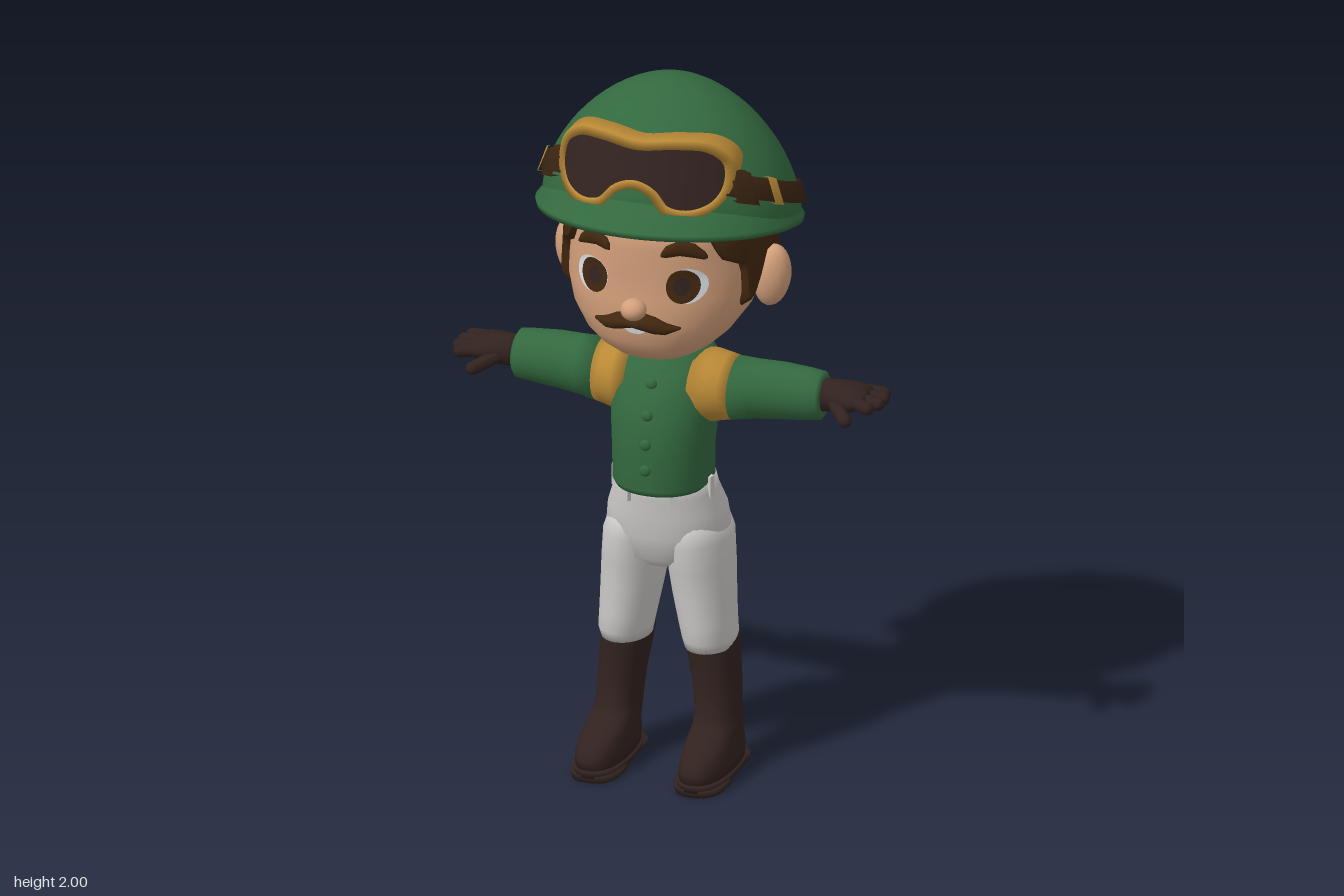
import * as THREE from 'three';
import { mergeVertices } from 'three/addons/utils/BufferGeometryUtils.js';

const mat = (name, color) => new THREE.MeshStandardMaterial({ name, color, side: THREE.DoubleSide });
const { sin, cos, abs, sign, sqrt, max, PI } = Math;

// Surface over a (u, v) grid; it faces du x dv
function grid(nu, nv, f) {
  const pos = [], idx = [];
  for (let j = 0; j <= nv; j++) for (let i = 0; i <= nu; i++) pos.push(...f(i / nu, j / nv));
  for (let j = 0; j < nv; j++) for (let i = 0; i < nu; i++) {
    const a = j * (nu + 1) + i, b = a + nu + 1;
    idx.push(a, a + 1, b + 1, a, b + 1, b);
  }
  let g = new THREE.BufferGeometry();
  g.setAttribute('position', new THREE.Float32BufferAttribute(pos, 3));
  g.setIndex(idx);
  g = mergeVertices(g, 1e-5);
  g.computeVertexNormals();
  return g;
}
// Closed stack of superellipse rings [y, cx, cz, rx, rz]
function loft(rings, p = 2, n = 32) {
  const a = rings[0], b = rings[rings.length - 1];
  const all = [[a[0], a[1], a[2], 0, 0], ...rings, [b[0], b[1], b[2], 0, 0]];
  const bend = t => sign(t) * abs(t) ** (2 / p);
  return grid(n, all.length - 1, (u, v) => {
    const [y, cx, cz, rx, rz] = all[Math.round(v * (all.length - 1))], t = u * 2 * PI;
    return [cx + rx * bend(sin(t)), y, cz + rz * bend(cos(t))];
  });
}
// The same along x, with rings [x, y, z, ry, rz]
const loftX = (rings, p) => loft(rings.map(([x, y, z, a, b]) => [x, -y, z, a, b]), p, 24).rotateZ(-PI / 2);

function capsule(a, b, r) {
  const A = new THREE.Vector3(...a), d = new THREE.Vector3(...b).sub(A);
  const q = new THREE.Quaternion().setFromUnitVectors(new THREE.Vector3(0, 1, 0), d.clone().normalize());
  return new THREE.CapsuleGeometry(r, d.length(), 6, 12).applyQuaternion(q).translate(...A.addScaledVector(d, 0.5).toArray());
}
function mirrored(geo) {
  const g = geo.clone().scale(-1, 1, 1), ix = g.index.array;
  for (let i = 0; i < ix.length; i += 3) [ix[i], ix[i + 1]] = [ix[i + 1], ix[i]];
  g.computeVertexNormals();
  return g;
}
const ball = (r, s, p) => new THREE.SphereGeometry(r, 20, 14).scale(...s).translate(...p);
function table(xs, ys, x) {
  let i = 0;
  while (i < xs.length - 2 && x > xs[i + 1]) i++;
  const t = THREE.MathUtils.clamp((x - xs[i]) / (xs[i + 1] - xs[i]), 0, 1);
  return ys[i] + (ys[i + 1] - ys[i]) * t;
}

// Head cross-sections, shared by the face and the hair
const HP = 2.2;
const HEAD = [
  [1.243, 0, 0.07, 0.06, 0.06], [1.255, 0, 0.08, 0.11, 0.1], [1.28, 0, 0.07, 0.155, 0.135],
  [1.32, 0, 0.045, 0.2, 0.19], [1.38, 0, 0.02, 0.242, 0.225], [1.45, 0, 0, 0.262, 0.247],
  [1.52, 0, -0.024, 0.265, 0.261], [1.6, 0, -0.028, 0.26, 0.278], [1.7, 0, -0.035, 0.25, 0.27]];
const headAt = (k, y) => table(HEAD.map(r => r[0]), HEAD.map(r => r[k]), y);
const faceZ = (x, y) => headAt(2, y) + headAt(4, y) * max(0, 1 - (abs(x) / headAt(3, y)) ** HP) ** (1 / HP);
// Thin oval lying on the face
const facePatch = (cx, cy, rx, ry, off) => grid(28, 4, (u, v) => {
  const x = cx + rx * v * sin(u * 2 * PI), y = cy + ry * v * cos(u * 2 * PI);
  return [x, y, faceZ(x, y) + off];
});

// Helmet dome: tilted rim, superelliptic rise to the crown
const DP = 1.8;
const rimY = t => 1.625 + 0.075 * cos(t);
const domeXZ = (t, r) => [0.355 * sin(t) * r, -0.04 + (cos(t) > 0 ? 0.31 : 0.325) * cos(t) * r];
function onDome(t, y, off) {
  const h = max(0, (y - rimY(t)) / (2 - rimY(t)));
  const [x, z] = domeXZ(t, (1 - h ** DP) ** (1 / DP) + off / 0.34);
  return [x, y, z];
}
// Raised band around the dome, dropping towards the back
const band = (t0, t1, half, off, n) => grid(n, 3, (u, v) => {
  const t = t0 + (t1 - t0) * u, k = Math.round(v * 3);
  return onDome(t, 1.705 + 0.125 * cos(t) + (k < 2 ? -half : half), k === 0 || k === 3 ? -0.01 : off);
});

export function createModel() {
  const root = new THREE.Group();
  root.name = 'rider';
  const green = mat('green', 0x33693f), gold = mat('gold', 0xb98936), dark = mat('darkLeather', 0x31221f);
  const strap = mat('strapBrown', 0x3a2412), hairM = mat('hairBrown', 0x41270f), skin = mat('skin', 0xd39f7a);
  const cloth = mat('paleCloth', 0xcbc9c7), white = mat('eyeWhite', 0xd8dde2);
  const add = (name, geo, m) => {
    const mesh = new THREE.Mesh(geo, m);
    mesh.name = name;
    root.add(mesh);
  };
  const pair = (name, geo, m) => { add(name + 'Left', geo, m); add(name + 'Right', mirrored(geo), m); };

  // Head and face
  add('head', loft(HEAD, HP, 48), skin);
  add('neck', loft([[1.18, 0, -0.02, 0.075, 0.075], [1.3, 0, -0.01, 0.07, 0.075]]), skin);
  add('nose', ball(0.036, [1, 0.85, 1], [0, 1.43, 0.262]), skin);
  pair('ear', ball(1, [0.052, 0.09, 0.045], [0, 0, 0]).rotateY(0.35).rotateZ(-0.12).translate(0.285, 1.45, -0.05), skin);
  pair('eyeWhite', facePatch(0.135, 1.5, 0.052, 0.05, 0.004), white);
  pair('iris', facePatch(0.127, 1.5, 0.043, 0.048, 0.007), hairM);
  pair('pupil', facePatch(0.125, 1.5, 0.022, 0.026, 0.009), dark);
  add('teeth', facePatch(0, 1.365, 0.028, 0.012, 0.006), white);
  pair('eyebrow', loftX([0.075, 0.085, 0.12, 0.155, 0.178, 0.184].map((x, i) => {
    const y = 1.612 - 8 * (x - 0.12) ** 2;
    return [x, y, faceZ(x, y), [0.008, 0.017, 0.022, 0.02, 0.012, 0.003][i], 0.014];
  })), hairM);
  add('moustache', loftX([-0.122, -0.11, -0.085, -0.055, -0.025, 0, 0.025, 0.055, 0.085, 0.11, 0.122].map(x => {
    const a = abs(x), y = table([0, 0.03, 0.085, 0.122], [1.393, 1.394, 1.376, 1.378], a);
    return [x, y, faceZ(x, y) + 0.006, table([0, 0.03, 0.07, 0.122], [0.015, 0.025, 0.022, 0.003], a),
      table([0, 0.05, 0.122], [0.035, 0.03, 0.006], a)];
  })), hairM);

  // Hair shell with sideburns, notched around the ears
  const hairA = [40, 52, 66, 73, 79, 86, 108, 118, 150, 180];
  const hairY = [1.66, 1.56, 1.53, 1.41, 1.4, 1.53, 1.53, 1.39, 1.31, 1.29];
  add('hair', grid(112, 14, (u, v) => {
    const deg = 40 + 280 * u, t = deg * PI / 180, low = table(hairA, hairY, deg > 180 ? 360 - deg : deg);
    const y = low + (1.69 - low) * v, off = (v === 0 ? -0.01 : 0.012) + 0.0125 * (1 - cos(t));
    const e = w => sign(w) * abs(w) ** (2 / HP);
    return [(headAt(3, y) + off) * e(sin(t)), y, headAt(2, y) + (headAt(4, y) + off) * e(cos(t))];
  }), hairM);

  // Helmet
  add('helmetDome', grid(64, 20, (u, v) => {
    const t = u * 2 * PI, h = sin(v * PI / 2) ** (2 / DP), [x, z] = domeXZ(t, max(0, cos(v * PI / 2)) ** (2 / DP));
    return [x, rimY(t) + (2 - rimY(t)) * h, z];
  }), green);
  add('helmetBrim', grid(64, 3, (u, v) => {
    const t = u * 2 * PI, k = Math.round(v * 3), s = [0.72, 1, 1.01, 0.9][k];
    const rz = cos(t) > 0 && (k === 1 || k === 2) ? 0.403 : 0.325;
    return [0.36 * s * sin(t), rimY(t) + [0, -0.018, 0, 0.05][k], -0.04 + rz * s * cos(t)];
  }), green);

  // Goggles on their strap
  add('goggleStrap', band(0.75, 2 * PI - 0.75, 0.03, 0.014, 72), strap);
  pair('strapBuckle', band(1.2, 1.3, 0.036, 0.02, 4), gold);
  pair('strapHinge', band(0.82, 1.02, 0.042, 0.024, 6), strap);
  const onGoggle = (x, y, off) => [x, y, 0.262 - 1.7 * x * x - 0.38 * (y - 1.8) + off];
  const half = [[0.1, 1.917], [0.19, 1.905], [0.243, 1.86], [0.25, 1.79], [0.22, 1.738], [0.16, 1.715], [0.09, 1.728], [0.045, 1.772]];
  const outline = new THREE.CatmullRomCurve3([[0, 1.91], ...half, [0, 1.787],
    ...half.map(([x, y]) => [-x, y]).reverse()].map(([x, y]) => new THREE.Vector3(x, y, 0)), true);
  const rimPoint = (u, inset) => {
    const p = outline.getPoint(u % 1), t = outline.getTangent(u % 1);
    return [p.x + t.y * inset, p.y - t.x * inset];
  };
  add('goggleFrame', grid(96, 4, (u, v) => {
    const k = Math.round(v * 4) % 4;
    return onGoggle(...rimPoint(u, [0.022, 0, 0, 0.022][k]), k === 0 || k === 3 ? (k ? -0.06 : 0.008) : (k === 1 ? 0.004 : -0.06));
  }), gold);
  add('goggleLens', grid(96, 6, (u, v) => {
    const [x, y] = rimPoint(u, 0.02);
    return onGoggle(x * v, 1.85 + (y - 1.85) * v, 0);
  }), dark);

  // Jacket
  const body = [
    [0.84, 0, 0.02, 0.128, 0.138], [0.855, 0, 0.021, 0.136, 0.143], [0.95, 0, 0.023, 0.137, 0.143],
    [1.03, 0, 0.013, 0.143, 0.15], [1.12, 0, -0.01, 0.15, 0.146], [1.18, 0, -0.028, 0.14, 0.128],
    [1.215, 0, -0.038, 0.11, 0.108], [1.24, 0, -0.035, 0.085, 0.088]];
  add('jacket', loft(body, 2.2, 40), green);
  add('collar', grid(40, 3, (u, v) => {
    const t = u * 2 * PI, k = Math.round(v * 3), r = [0.088, 0.086, 0.076, 0.07][k];
    return [r * sin(t), [1.2, 1.262, 1.262, 1.2][k] + (k === 1 || k === 2 ? -0.018 * cos(t) : 0), -0.03 + (r + 0.008) * cos(t)];
  }), green);
  add('shirtCollar', loft([[1.2, 0, -0.022, 0.078, 0.082], [1.262, 0, -0.022, 0.074, 0.08]]), white);
  const frontZ = y => table(body.map(r => r[0]), body.map(r => r[2] + r[4]), y);
  add('placket', grid(2, 12, (u, v) => [-0.02 + 0.04 * u, 0.86 + 0.34 * v, frontZ(0.86 + 0.34 * v) + 0.004]), green);
  [0.92, 0.995, 1.075, 1.155].forEach((y, i) => add('button' + (i + 1), ball(0.016, [1, 1, 0.6], [0, y, frontZ(y) + 0.006]), green));

  // Arms and gloves
  pair('shoulderBand', loftX([[0.09, 1.118, -0.015, 0.1, 0.118], [0.13, 1.118, -0.015, 0.1, 0.112],
    [0.17, 1.118, -0.018, 0.092, 0.1], [0.2, 1.117, -0.02, 0.086, 0.09]]), gold);
  pair('sleeve', loftX([[0.195, 1.117, -0.02, 0.088, 0.092], [0.25, 1.119, -0.027, 0.083, 0.08], [0.32, 1.122, -0.032, 0.08, 0.073],
    [0.4, 1.122, -0.035, 0.073, 0.068], [0.435, 1.122, -0.035, 0.068, 0.065], [0.443, 1.122, -0.035, 0.055, 0.055]]), green);
  pair('glove', loftX([[0.43, 1.125, -0.035, 0.05, 0.048], [0.455, 1.127, -0.035, 0.045, 0.045], [0.49, 1.13, -0.033, 0.043, 0.056],
    [0.53, 1.132, -0.033, 0.036, 0.07], [0.56, 1.132, -0.034, 0.025, 0.068], [0.57, 1.132, -0.034, 0.014, 0.055]]), dark);
  [[-0.085, -0.095, 0.592], [-0.052, -0.057, 0.602], [-0.018, -0.017, 0.602], [0.014, 0.024, 0.585]].forEach(([z0, z1, x], i) =>
    pair('finger' + (i + 1), capsule([0.545, 1.134, z0], [x, 1.128, z1], 0.018), dark));
  pair('thumb', capsule([0.485, 1.12, 0.005], [0.535, 1.1, 0.062], 0.019), dark);

  // Breeches
  add('hips', loft([[0.6, 0, -0.02, 0.06, 0.09], [0.63, 0, -0.02, 0.14, 0.125], [0.7, 0, -0.02, 0.17, 0.145],
    [0.76, 0, -0.012, 0.163, 0.14], [0.82, 0, 0.003, 0.142, 0.133], [0.872, 0, 0.008, 0.13, 0.129]], 2.2, 40), cloth);
  pair('breechesLeg', loft([[0.36, 0.12, -0.02, 0.068, 0.095], [0.39, 0.12, -0.016, 0.073, 0.105], [0.44, 0.113, -0.016, 0.077, 0.108],
    [0.52, 0.103, -0.018, 0.084, 0.114], [0.6, 0.095, -0.02, 0.089, 0.123], [0.68, 0.09, -0.02, 0.087, 0.138], [0.74, 0.08, -0.018, 0.078, 0.12]]), cloth);
  [0.5, 1.4, 2.5].forEach((t, i) => pair('beltLoop' + (i + 1), new THREE.BoxGeometry(0.022, 0.06, 0.012).rotateY(t)
    .translate(0.14 * sin(t), 0.84, 0.008 + 0.142 * cos(t)), cloth));

  // Riding boots
  pair('boot', loft([[0.025, 0.149, 0.05, 0.068, 0.165], [0.06, 0.149, 0.05, 0.07, 0.167], [0.09, 0.148, 0.042, 0.066, 0.155],
    [0.115, 0.146, 0.02, 0.063, 0.13], [0.14, 0.144, -0.01, 0.061, 0.097], [0.17, 0.142, -0.022, 0.06, 0.082],
    [0.24, 0.137, -0.028, 0.062, 0.082], [0.32, 0.127, -0.032, 0.067, 0.086], [0.375, 0.121, -0.032, 0.07, 0.09], [0.385, 0.121, -0.03, 0.068, 0.088]], 2.3), dark);
  pair('bootSole', loft([[0.014, 0.149, 0.05, 0.07, 0.17], [0.034, 0.149, 0.05, 0.072, 0.172]], 2.5), dark);
  pair('bootTread', loft([[0, 0.149, 0.115, 0.068, 0.102], [0.02, 0.149, 0.115, 0.07, 0.104]], 2.6), dark);
  pair('bootHeel', loft([[0, 0.147, -0.07, 0.06, 0.048], [0.02, 0.147, -0.07, 0.062, 0.05]], 3), dark);

  return root;
}
